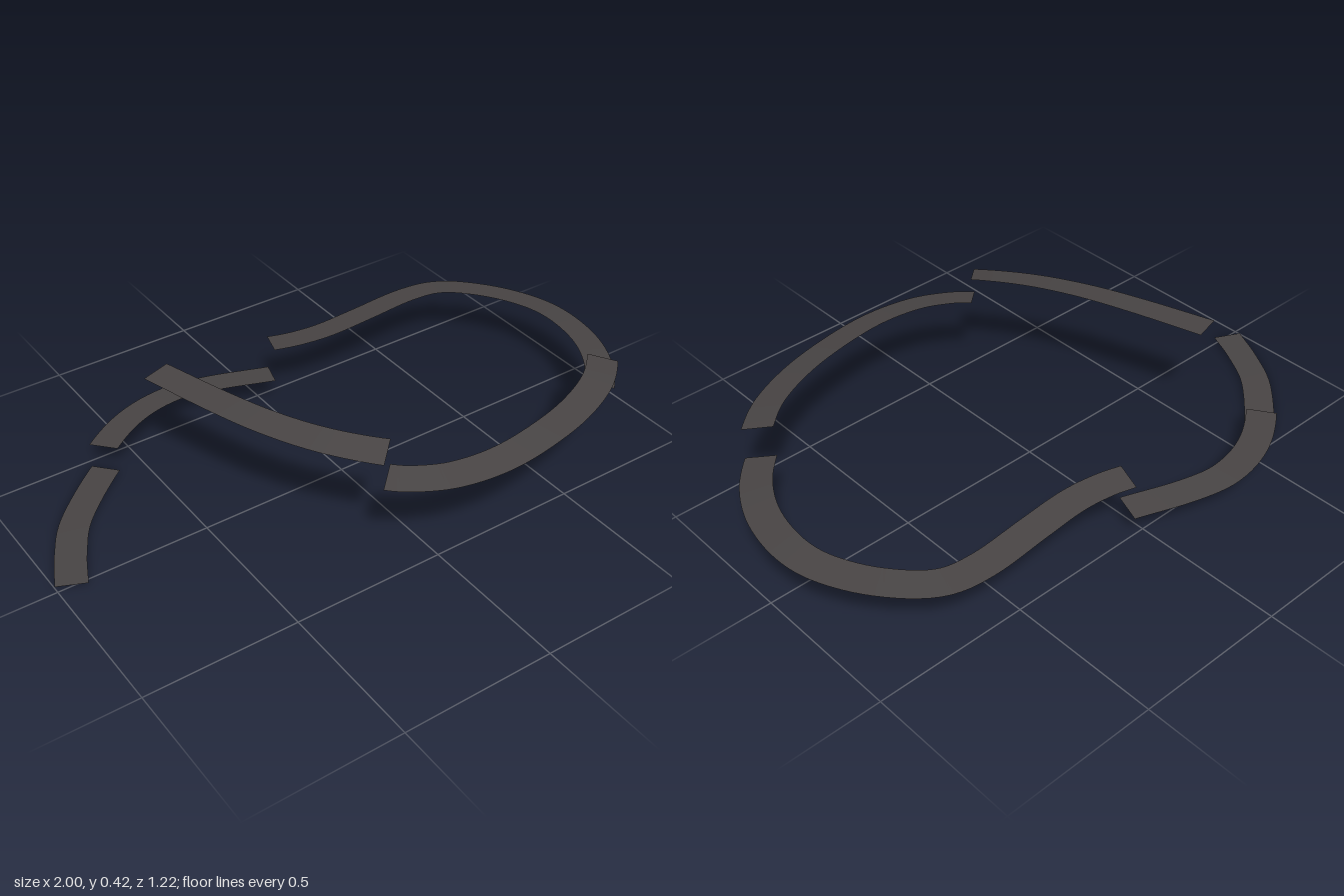
import * as THREE from 'three';

const asphalt = new THREE.MeshStandardMaterial({ color: 0x484444, side: THREE.DoubleSide });
asphalt.name = 'asphalt';

const HALF_WIDTH = 0.049;
const STEPS = 6; // cross-sections between two neighbouring path points

// Centre line of the whole road as [x, z]
const path = [
  [-0.955, 0], [-0.895, -0.125], [-0.805, -0.262], [-0.615, -0.435],
  [-0.46, -0.53], [-0.3, -0.565], [-0.15, -0.54], [0.043, -0.472],
  [0.14, -0.447], [0.25, -0.438], [0.4, -0.448], [0.6, -0.462], [0.735, -0.433],
  [0.85, -0.32], [0.925, -0.18], [0.947, -0.05], [0.925, 0.1], [0.865, 0.23], [0.775, 0.335],
  [0.665, 0.425], [0.51, 0.495], [0.34, 0.537], [0.18, 0.555], [0.04, 0.54], [-0.06, 0.5], [-0.147, 0.433],
  [-0.26, 0.285], [-0.345, 0.12], [-0.41, -0.06], [-0.48, -0.294],
];
const curve = new THREE.CatmullRomCurve3(
  path.map(([x, z]) => new THREE.Vector3(x, 0, z)), false, 'catmullrom', 0.5);

// Sections: path range, then heights of the [outer, inner] edge at start and end
const sections = [
  { name: 'roadSection1', from: 0, to: 3, start: [0.004, 0.006], end: [0, 0.006] },
  { name: 'roadSection2', from: 3, to: 7, start: [0.086, 0.092], end: [0.086, 0.093] },
  { name: 'roadSection3', from: 7, to: 18, start: [0.208, 0.216], end: [0.203, 0.218] },
  { name: 'roadSection4', from: 18, to: 25, start: [0.309, 0.325], end: [0.308, 0.327] },
  { name: 'roadSection5', from: 25, to: 29, start: [0.396, 0.417], end: [0.403, 0.406] },
];

// Banked ribbon swept along one stretch of the path
function ribbon({ from, to, start, end }) {
  const count = (to - from) * STEPS;
  const positions = [], index = [];
  for (let i = 0; i <= count; i++) {
    const f = i / count;
    const t = (from + f * (to - from)) / (path.length - 1);
    const p = curve.getPoint(t), d = curve.getTangent(t);
    [1, -1].forEach((side, k) => positions.push(
      p.x + side * d.z * HALF_WIDTH,
      THREE.MathUtils.lerp(start[k], end[k], f),
      p.z - side * d.x * HALF_WIDTH));
    if (i < count) {
      const a = i * 2;
      index.push(a, a + 1, a + 3, a, a + 3, a + 2);
    }
  }
  const geometry = new THREE.BufferGeometry();
  geometry.setAttribute('position', new THREE.Float32BufferAttribute(positions, 3));
  geometry.setIndex(index);
  geometry.computeVertexNormals();
  return geometry;
}

export function createModel() {
  const model = new THREE.Group();
  model.name = 'steppedRoad';
  for (const section of sections) {
    const mesh = new THREE.Mesh(ribbon(section), asphalt);
    mesh.name = section.name;
    model.add(mesh);
  }
  return model;
}
